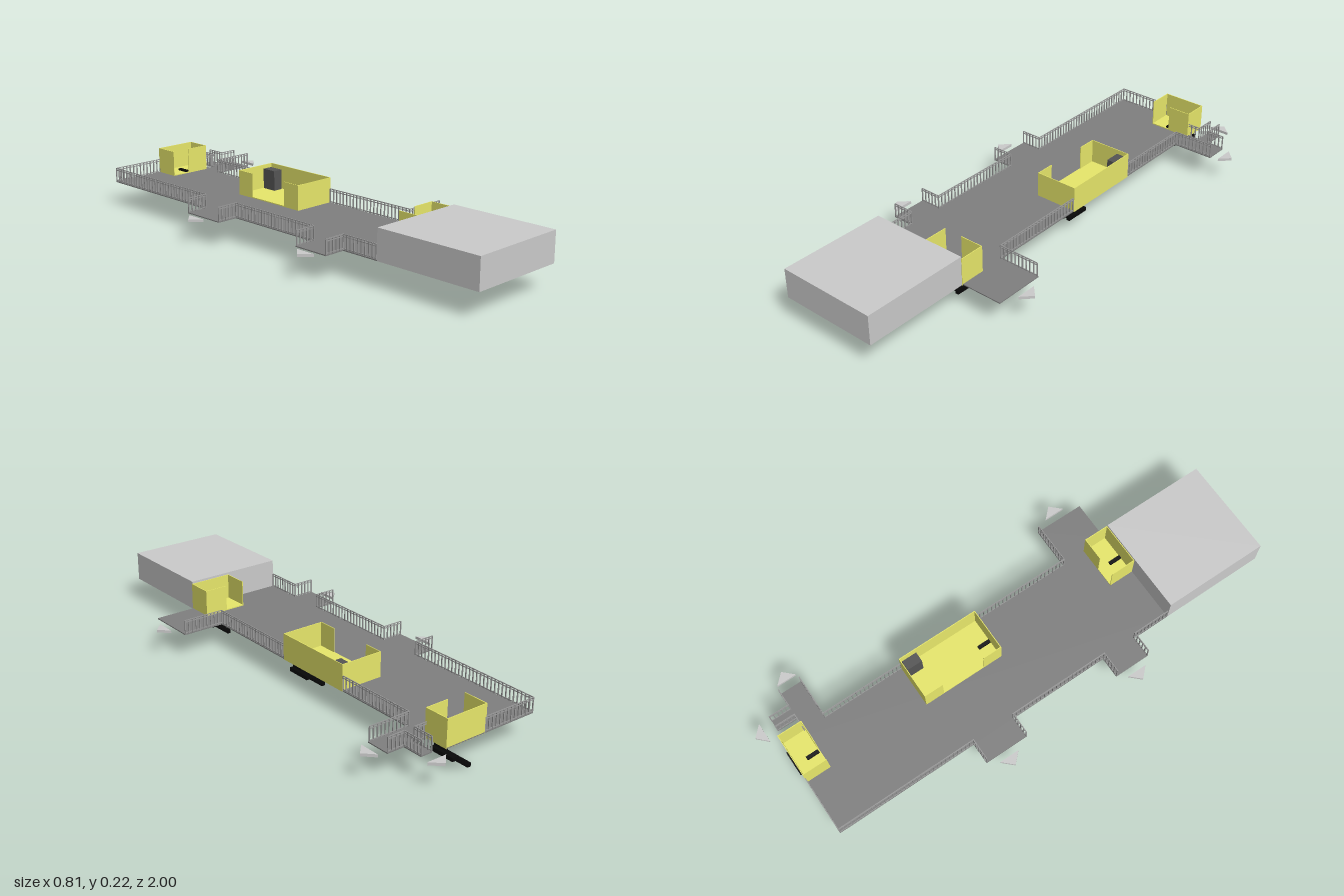
import * as THREE from 'three';

const mat = (color) => new THREE.MeshStandardMaterial({ color, flatShading: true });

export function createModel() {
  const root = new THREE.Group();
  const grey = mat(0xcccccc), dark = mat(0x808080), yellow = mat(0xe8e86b);
  const black = mat(0x080808), metal = mat(0x999999), cabinetGrey = mat(0x555555);

  // Box given by its minimum and maximum corners
  function box(parent, name, m, x0, x1, y0, y1, z0, z1) {
    const mesh = new THREE.Mesh(new THREE.BoxGeometry(x1 - x0, y1 - y0, z1 - z0), m);
    mesh.position.set((x0 + x1) / 2, (y0 + y1) / 2, (z0 + z1) / 2);
    mesh.name = name;
    parent.add(mesh);
    return mesh;
  }
  function group(name) {
    const g = new THREE.Group();
    g.name = name;
    root.add(g);
    return g;
  }

  // Solid block at the front, and the long deck with its side platforms
  box(root, 'frontBlock', grey, -0.252, 0.155, 0.1, 0.219, 0.565, 1);
  const deck = group('deck');
  [
    [-0.252, 0.155, -0.927, 0.565],
    [-0.338, -0.252, -0.34, -0.158],
    [-0.338, -0.252, 0.257, 0.407],
    [0.155, 0.327, 0.358, 0.562],
    [0.155, 0.327, -0.834, -0.74],
    [0.208, 0.256, -0.915, -0.834],
  ].forEach(([x0, x1, z0, z1]) => box(deck, 'deckPlate', dark, x0, x1, 0.1, 0.104, z0, z1));

  // Railing along a straight run: three rails with evenly spaced balusters
  const railings = group('railings');
  function railing(xa, za, xb, zb) {
    const len = Math.hypot(xb - xa, zb - za);
    const run = new THREE.Group();
    run.name = 'railing';
    run.position.set(xa, 0, za);
    run.rotation.y = -Math.atan2(zb - za, xb - xa);
    [0.108, 0.152, 0.16].forEach((y) =>
      box(run, 'rail', metal, 0, len, y - 0.0015, y + 0.0015, -0.0015, 0.0015));
    const n = Math.max(2, Math.round(len / 0.018));
    for (let i = 0; i <= n; i++) {
      const x = (len * i) / n;
      box(run, 'baluster', metal, x - 0.002, x + 0.002, 0.102, 0.16, -0.002, 0.002);
    }
    railings.add(run);
  }
  const L = -0.25, LO = -0.335, R = 0.153, RO = 0.324;
  [
    [L, 0.56, L, 0.405], [L, 0.405, LO, 0.405], [LO, 0.26, L, 0.26],
    [L, 0.26, L, -0.16], [L, -0.16, LO, -0.16], [LO, -0.338, L, -0.338],
    [L, -0.338, L, -0.925], [L, -0.925, -0.02, -0.925],
    [R, 0.36, RO, 0.36], [R, 0.36, R, -0.055], [R, -0.4, R, -0.742],
    [R, -0.742, RO, -0.742], [RO, -0.832, 0.254, -0.832],
    [0.254, -0.832, 0.254, -0.914], [0.21, -0.914, 0.21, -0.832], [0.21, -0.832, R, -0.832],
  ].forEach((p) => railing(...p));

  // Roofless booths: floor plus thin walls, each with one doorway
  const X0 = -0.022, X1 = 0.157, T = 0.003;
  function booth(name, z0, z1, top, walls) {
    const g = group(name);
    box(g, 'boothFloor', yellow, X0, X1, 0.0995, 0.108, z0, z1);
    box(g, 'outerWall', yellow, X1 - T, X1, 0.104, top, z0, z1);
    walls.forEach(([x0, x1, a, b]) => box(g, 'boothWall', yellow, x0, x1, 0.104, top, a, b));
    return g;
  }
  booth('frontBooth', 0.46, 0.565, 0.21, [
    [X0, X0 + T, 0.46, 0.565], [X0, X1, 0.562, 0.565], [0.06, X1, 0.46, 0.463],
  ]);
  const middle = booth('middleBooth', -0.4, -0.057, 0.205, [
    [X0, X1, -0.06, -0.057], [X0, X1, -0.4, -0.397],
    [X0, X0 + T, -0.4, -0.32], [X0, X0 + T, -0.137, -0.057],
  ]);
  box(middle, 'cabinet', cabinetGrey, 0.106, 0.147, 0.099, 0.19, -0.394, -0.33);
  booth('rearBooth', -0.927, -0.825, 0.21, [
    [X0, X0 + T, -0.927, -0.825], [X0, X1, -0.927, -0.924], [0.06, X1, -0.828, -0.825],
  ]);

  // Stairs: the upper flight goes down to the left, the lower flight returns behind it
  const S = 0.0073, W = 0.052;
  [0.562, -0.061, -0.83].forEach((z) => {
    const g = group('stairs');
    const step = (x, y, zf, depth) =>
      box(g, 'step', black, x - S, x + S, y - S, y + S, zf - depth, zf);
    for (let i = 0; i < 5; i++) {
      const x = 0.053 + i * 0.0144;
      step(x, 0.108 - i * 0.011, z, W);
      step(x, 0.0073 + i * 0.0113, z - W, W);
    }
    step(0.125, 0.0535, z, 2 * W);
  });

  // Flat arrow markers pointing away from each platform
  const shape = new THREE.Shape([[-0.019, -0.041], [0.021, 0], [-0.019, 0.041]]
    .map(([x, y]) => new THREE.Vector2(x, y)));
  const arrowGeo = new THREE.ExtrudeGeometry(shape, { depth: 0.011, bevelEnabled: false });
  arrowGeo.rotateX(-Math.PI / 2);
  const arrowMat = mat(0xc0c0c0);
  [
    [-0.384, -0.256, Math.PI], [-0.384, 0.335, Math.PI],
    [0.38, -0.786, 0], [0.374, 0.457, 0], [0.23, -0.979, Math.PI / 2],
  ].forEach(([x, z, turn]) => {
    const arrow = new THREE.Mesh(arrowGeo, arrowMat);
    arrow.name = 'arrowMarker';
    arrow.position.set(x, 0.096, z);
    arrow.rotation.y = turn;
    root.add(arrow);
  });

  return root;
}
